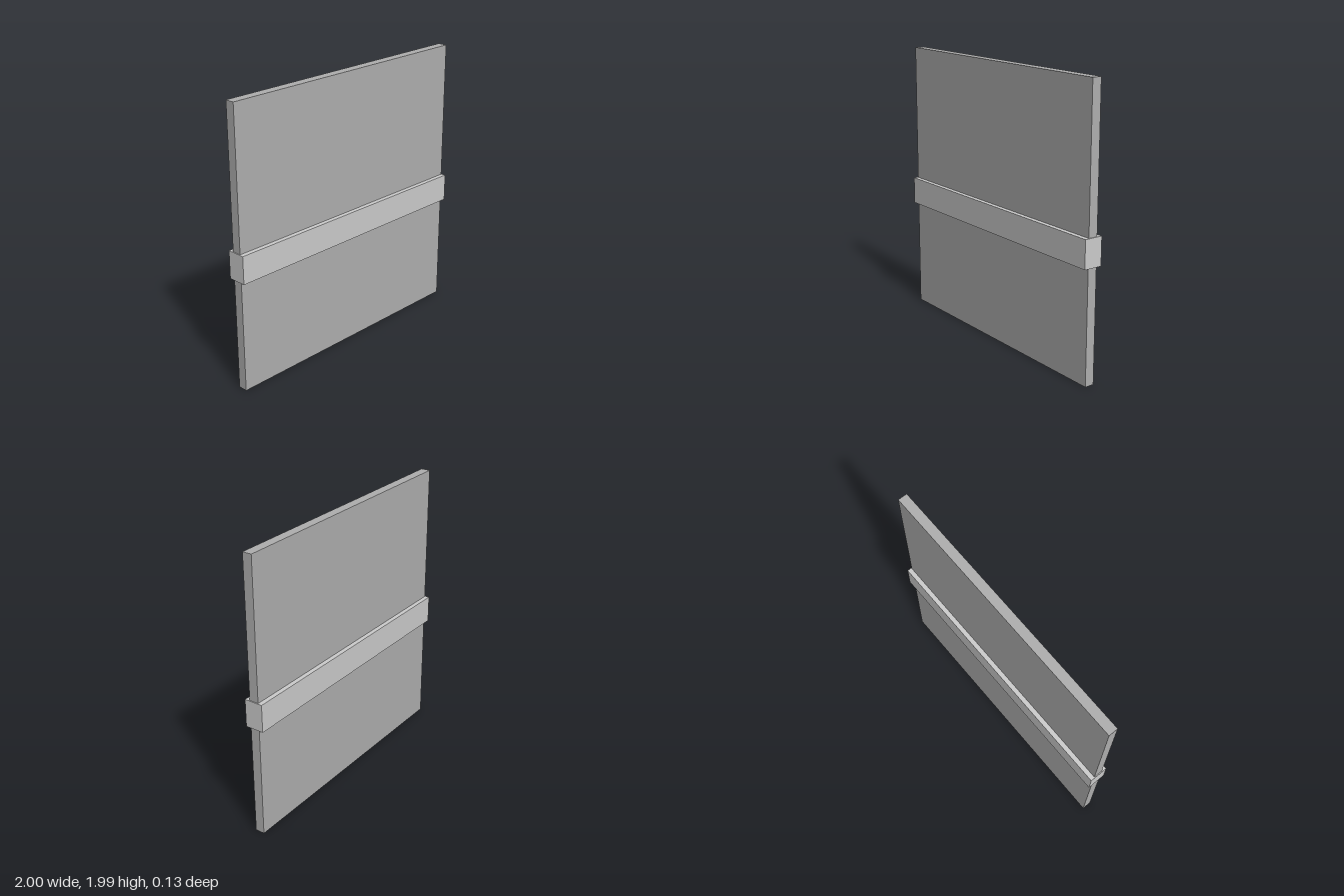
import * as THREE from 'three';

export function createModel() {
  const group = new THREE.Group();

  function box(name, width, height, depth, bottom, color) {
    const mesh = new THREE.Mesh(
      new THREE.BoxGeometry(width, height, depth),
      new THREE.MeshStandardMaterial({ color })
    );
    mesh.name = name;
    mesh.position.y = bottom + height / 2;
    group.add(mesh);
  }

  // Thin upright wall panel
  box('panel', 1.987, 1.987, 0.067, 0, 0xaeaeae);
  // Thicker horizontal rail wrapped around the middle of the panel
  box('rail', 2, 0.197, 0.133, 0.798, 0xcccccc);

  return group;
}
